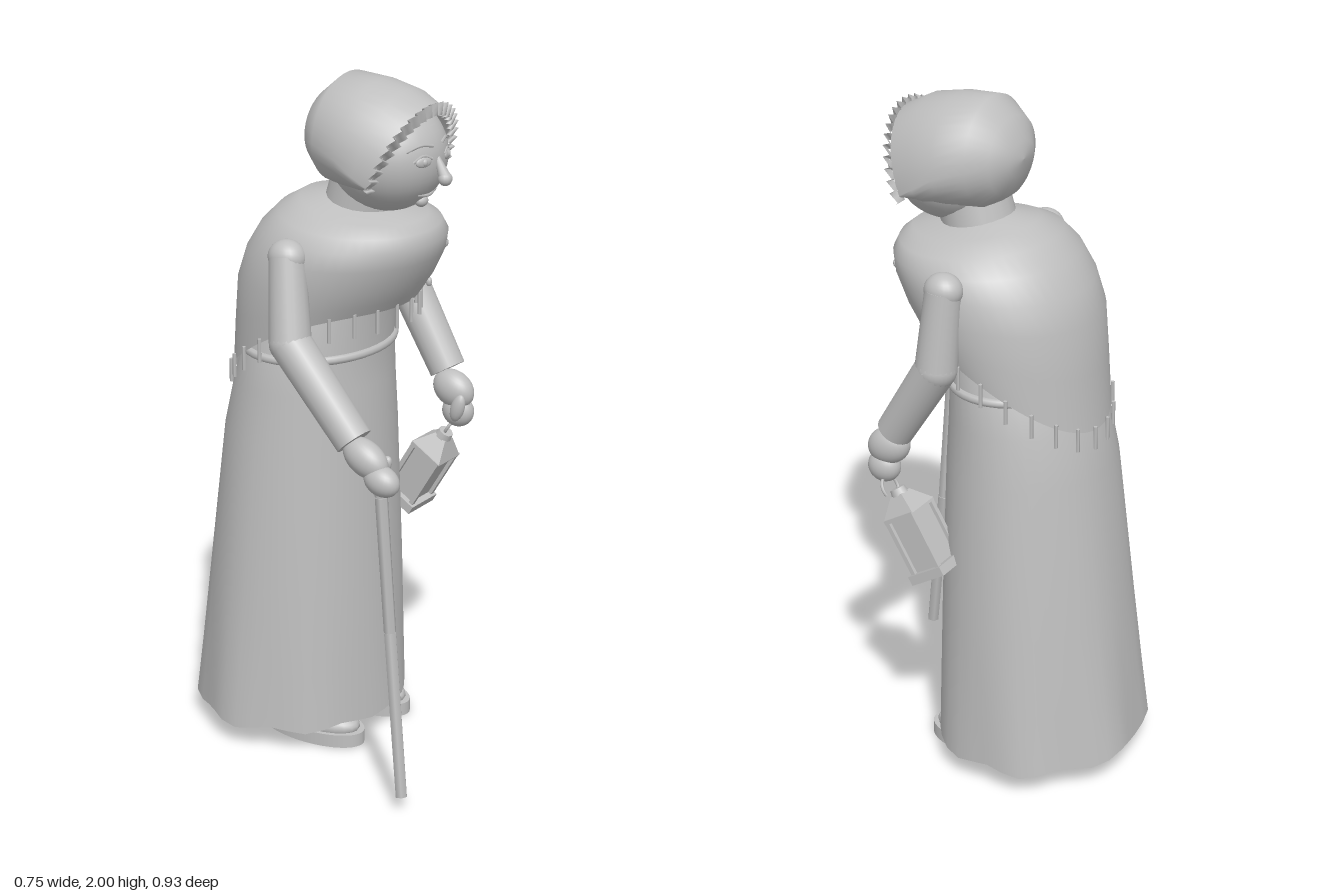
import * as THREE from 'three';

const CX = 0.017; // body centre line
const V = (x, y, z) => new THREE.Vector3(x, y, z);

export function createModel() {
  const model = new THREE.Group();
  const clay = new THREE.MeshStandardMaterial({ color: 0xbfbfbf, side: THREE.DoubleSide });
  clay.name = 'plain grey';

  const add = (name, geo, pos = [0, 0, 0], rot = [0, 0, 0], parent = model) => {
    const m = new THREE.Mesh(geo, clay);
    m.name = name;
    m.position.set(...pos);
    m.rotation.set(...rot);
    parent.add(m);
    return m;
  };
  const ball = (name, pos, [rx, ry, rz], rot, seg = 24) =>
    add(name, new THREE.SphereGeometry(1, seg, Math.ceil(seg * 0.7)).scale(rx, ry, rz), pos, rot);
  const rod = (name, a, b, ra, rb, seg = 20) => {
    const d = b.clone().sub(a);
    const m = add(name, new THREE.CylinderGeometry(rb, ra, d.length(), seg), a.clone().add(b).multiplyScalar(0.5).toArray());
    m.quaternion.setFromUnitVectors(V(0, 1, 0), d.normalize());
    return m;
  };

  // Smooth skin through closed rings; point(ring, angle) returns [x, y, z]
  const loft = (rings, n, point) => {
    const pos = [], idx = [];
    rings.forEach((r, i) => {
      for (let j = 0; j < n; j++) {
        pos.push(...point(r, (j / n) * Math.PI * 2, i));
        if (i === rings.length - 1) continue;
        const a = i * n + j, b = i * n + (j + 1) % n;
        idx.push(a, a + n, b + n, a, b + n, b);
      }
    });
    const g = new THREE.BufferGeometry();
    g.setAttribute('position', new THREE.Float32BufferAttribute(pos, 3));
    g.setIndex(idx);
    g.computeVertexNormals();
    return g;
  };

  // Skirt and bodice: y, front z, back z, half width
  const skirt = [[1.36, 0.13, -0.24, 0.2], [1.22, 0.11, -0.29, 0.247], [1.1, 0.112, -0.325, 0.26],
    [0.95, 0.12, -0.36, 0.275], [0.5, 0.133, -0.41, 0.31], [0.25, 0.14, -0.438, 0.325], [0.07, 0.145, -0.458, 0.338]];
  add('skirt', loft(skirt, 36, ([y, zf, zb, hw], a) => {
    const h = Math.max(0, (1 - y) / 0.93) ** 2; // ruffle grows toward the hem
    const k = 1 + h * 0.035 * Math.sin(a * 7 + 0.6) * (0.3 + 0.7 * Math.sin(a / 2));
    return [CX + hw * k * Math.sin(a), y + h * 0.008 * Math.sin(a * 9), (zf + zb) / 2 + (zf - zb) / 2 * k * Math.cos(a)];
  }));
  const band = add('waistband', new THREE.TorusGeometry(1, 0.05, 8, 48).rotateX(Math.PI / 2), [CX, 1.205, -0.09]);
  band.scale.set(0.249, 0.26, 0.2);

  // Shawl: front y, back y, front z, back z, half width; it hangs lower at the back
  const shawl = [[1.63, 1.67, 0.17, -0.01, 0.09], [1.61, 1.655, 0.25, -0.12, 0.17], [1.585, 1.62, 0.28, -0.18, 0.235],
    [1.55, 1.565, 0.295, -0.235, 0.268], [1.5, 1.49, 0.285, -0.28, 0.283], [1.43, 1.4, 0.25, -0.31, 0.285],
    [1.385, 1.25, 0.22, -0.322, 0.278], [1.355, 1.08, 0.2, -0.335, 0.268]];
  const shawlPoint = ([yf, yb, zf, zb, hw], a) => [CX + hw * Math.sin(a),
    yf + (yb - yf) * ((1 - Math.cos(a)) / 2) ** 1.8, (zf + zb) / 2 + (zf - zb) / 2 * Math.cos(a)];
  add('shawl', loft(shawl, 48, shawlPoint));
  for (let i = 0; i < 24; i++) {
    const a = ((i + 0.5) / 24) * Math.PI * 2;
    const [x, y, z] = shawlPoint([1.36, 1.09, 0.205, -0.342, 0.275], a);
    add('shawlFringe', new THREE.CylinderGeometry(0.006, 0.006, 0.07, 5), [x, y - 0.03, z]);
  }
  ball('brooch', [0.155, 1.51, 0.245], [0.014, 0.014, 0.01], undefined, 12);
  ball('shawlPin', [0.115, 1.4, 0.22], [0.009, 0.014, 0.009], undefined, 10);

  // Neck, head and face
  rod('neck', V(CX, 1.56, 0.04), V(CX, 1.76, 0.09), 0.11, 0.1);
  ball('head', [CX, 1.79, 0.145], [0.165, 0.163, 0.168], undefined, 32);
  rod('noseBridge', V(CX, 1.8, 0.305), V(CX, 1.75, 0.33), 0.008, 0.017, 12);
  ball('noseTip', [CX, 1.742, 0.333], [0.021, 0.02, 0.02], undefined, 14);
  ball('chin', [CX, 1.668, 0.256], [0.022, 0.018, 0.018], undefined, 14);
  const mouth = new THREE.CatmullRomCurve3([V(CX - 0.045, 1.695, 0.271), V(CX, 1.688, 0.278), V(CX + 0.045, 1.695, 0.271)]);
  add('mouth', new THREE.TubeGeometry(mouth, 10, 0.005, 6));
  for (const s of [-1, 1]) {
    ball('eye', [CX + s * 0.058, 1.796, 0.3], [0.027, 0.015, 0.007], [0, s * 0.34, 0], 16);
    ball('pupil', [CX + s * 0.058, 1.796, 0.305], [0.009, 0.01, 0.006], [0, s * 0.34, 0], 10);
    const lid = [[0.03, 1.802, 0.31], [0.058, 1.814, 0.3], [0.088, 1.798, 0.286]].map(([x, y, z]) => V(CX + s * x, y, z));
    add('eyelid', new THREE.TubeGeometry(new THREE.CatmullRomCurve3(lid), 8, 0.004, 5));
    const brow = [[0.02, 1.835, 0.305], [0.06, 1.842, 0.292], [0.1, 1.828, 0.27]].map(([x, y, z]) => V(CX + s * x, y, z));
    add('eyebrow', new THREE.TubeGeometry(new THREE.CatmullRomCurve3(brow), 8, 0.005, 5));
  }

  // Bonnet from back to front: top z, top y, bottom z, bottom y, half width, height of widest point
  const bonnet = [[-0.085, 1.835, -0.085, 1.835, 0.001, 0.5], [-0.078, 1.885, -0.076, 1.785, 0.07, 0.5],
    [-0.045, 1.95, -0.05, 1.725, 0.13, 0.5], [0.015, 2, 0, 1.688, 0.172, 0.45], [0.12, 1.993, 0.08, 1.682, 0.193, 0.38],
    [0.21, 1.975, 0.14, 1.69, 0.196, 0.25], [0.285, 1.935, 0.195, 1.71, 0.186, 0.1]];
  add('bonnet', loft(bonnet, 40, ([zt, yt, zb, yb, hw, f], a) => {
    const c = Math.cos(a), t = f + c * (c > 0 ? 1 - f : f);
    return [CX + hw * Math.sin(a), yb + (yt - yb) * t, zb + (zt - zb) * t];
  }));
  // Pleated frill along the arch of the bonnet
  const frill = new THREE.PlaneGeometry(1, 1, 88, 2), fp = frill.attributes.position;
  for (let i = 0; i < fp.count; i++) {
    const a = fp.getX(i) * Math.PI * 1.04, v = fp.getY(i), wave = Math.sin((fp.getX(i) + 0.5) * Math.PI * 44);
    const c = Math.cos(a);
    fp.setXYZ(i, CX + (0.187 + v * 0.036) * Math.sin(a), 1.728 + (0.2 + v * 0.036) * c + wave * 0.004, 0.208 + 0.083 * c + wave * 0.011);
  }
  frill.computeVertexNormals();
  add('bonnetFrill', frill);

  // Sleeves: shoulder, elbow, wrist
  const arms = { right: [V(-0.262, 1.53, 0), V(-0.305, 1.3, 0.04), V(-0.312, 1.06, 0.26)],
    left: [V(0.3, 1.53, 0.005), V(0.318, 1.3, 0.02), V(0.305, 1.07, 0.165)] };
  for (const [side, [s, e, w]] of Object.entries(arms)) {
    ball(side + 'Shoulder', s.toArray(), [0.05, 0.05, 0.056]);
    rod(side + 'UpperSleeve', s, e, 0.052, 0.06);
    ball(side + 'Elbow', e.toArray(), [0.06, 0.06, 0.06]);
    rod(side + 'ForearmSleeve', e, w, 0.06, 0.054);
  }

  // Hands with knuckles and thumb
  ball('rightHand', [-0.314, 1.02, 0.3], [0.045, 0.05, 0.075], [0.5, 0, 0]);
  ball('rightFingers', [-0.32, 0.968, 0.358], [0.04, 0.043, 0.055], [0.3, 0, 0]);
  ball('rightThumb', [-0.285, 0.99, 0.335], [0.018, 0.045, 0.022], [0.6, 0, 0], 14);
  ball('leftHand', [0.3, 1.015, 0.19], [0.045, 0.055, 0.068], [0.4, 0, 0]);
  ball('leftFingers', [0.303, 0.948, 0.205], [0.04, 0.048, 0.05]);
  ball('leftThumb', [0.268, 0.97, 0.225], [0.018, 0.045, 0.022], [0.3, 0, 0], 14);

  // Crooked walking stick
  const stick = [V(-0.318, 0.99, 0.35), V(-0.32, 0.92, 0.357), V(-0.322, 0.52, 0.39), V(-0.357, 0.04, 0.456)];
  for (let i = 0; i < 3; i++) rod('walkingStick', stick[i], stick[i + 1], 0.019, 0.018, 6);

  // Lantern swinging from the left hand
  const lantern = new THREE.Group();
  lantern.name = 'lantern';
  lantern.position.set(0.291, 0.9, 0.185);
  lantern.rotation.x = 0.54;
  model.add(lantern);
  const box = (name, w, h, d, x, y, z) => add(name, new THREE.BoxGeometry(w, h, d), [x, y, z], undefined, lantern);
  add('lanternRing', new THREE.TorusGeometry(0.034, 0.005, 6, 20, Math.PI * 1.3), [0.025, -0.012, 0], [0, 0, -0.4], lantern);
  add('lanternCap', new THREE.CylinderGeometry(0.022, 0.026, 0.02, 10), [0, -0.035, 0], undefined, lantern);
  const roof = new THREE.CylinderGeometry(0.03, 0.08, 0.055, 4).toNonIndexed();
  roof.computeVertexNormals();
  add('lanternRoof', roof, [0, -0.07, 0], [0, Math.PI / 4, 0], lantern);
  box('lanternGlass', 0.094, 0.18, 0.084, 0, -0.185, 0);
  for (const x of [-0.051, 0.051]) for (const z of [-0.046, 0.046]) box('lanternPost', 0.014, 0.18, 0.014, x, -0.185, z);
  box('lanternRim', 0.118, 0.012, 0.108, 0, -0.1, 0);
  box('lanternBase', 0.132, 0.028, 0.122, 0, -0.284, 0);

  // Legs and shoes
  for (const x of [-0.105, 0.138]) {
    rod('leg', V(x, 0.06, -0.09), V(x, 0.6, -0.09), 0.05, 0.055);
    add('shoeSole', new THREE.CylinderGeometry(1, 1, 0.04, 36).scale(0.086, 1, 0.175), [x, 0.02, -0.03]);
    ball('shoeUpper', [x, 0.05, -0.025], [0.075, 0.052, 0.155]);
  }
  return model;
}
